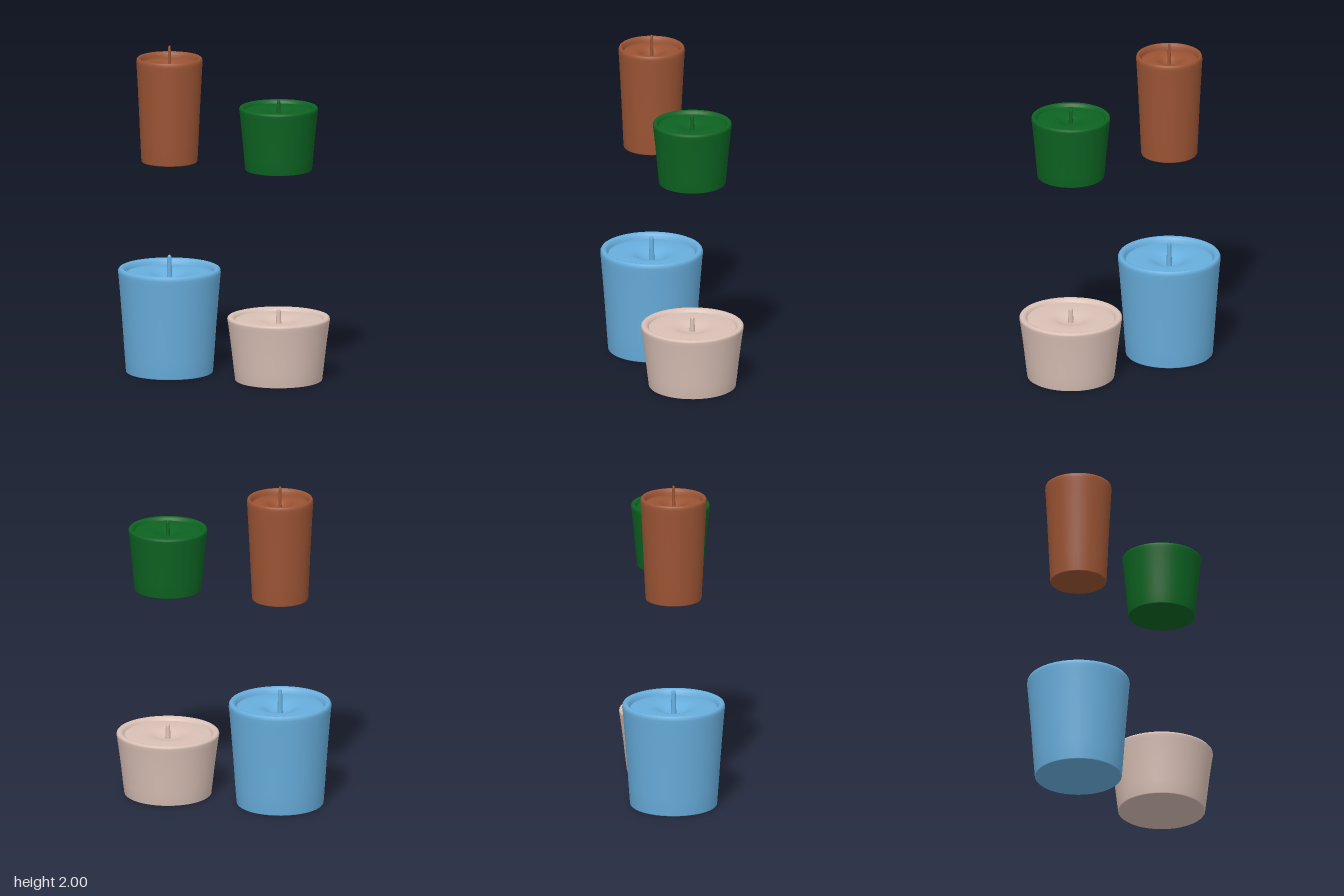
import * as THREE from 'three';

// Lathe profile in unit radius / unit height
const bodyProfile = [
  [0, 0], [0.4, 0], [0.83, 0], [0.845, 0.008], [0.875, 0.2], [0.91, 0.45],
  [0.95, 0.7], [0.985, 0.9], [0.998, 0.955], [0.993, 0.978], [0.975, 0.993], [0.945, 1],
  [0.91, 0.996], [0.88, 0.983], [0.86, 0.965], [0.845, 0.943],
];
const waxProfile = [
  [0.845, 0.943], [0.75, 0.95], [0.6, 0.955], [0.46, 0.953], [0.36, 0.942],
  [0.28, 0.922], [0.2, 0.898], [0.11, 0.884], [0, 0.88],
];
const wickProfile = [
  [0.055, 0.87], [0.05, 0.95], [0.042, 1.08], [0.036, 1.105], [0.022, 1.115], [0, 1.118],
];

function lathe(profile, radius, height, segments, material, name) {
  const points = profile.map(([r, y]) => new THREE.Vector2(r * radius, y * height));
  const mesh = new THREE.Mesh(new THREE.LatheGeometry(points, segments), material);
  mesh.name = name;
  return mesh;
}

function candle({ name, color, x, y, radius, height, wick }) {
  const group = new THREE.Group();
  group.name = name;
  const material = new THREE.MeshStandardMaterial({ color });
  group.add(lathe(bodyProfile, radius, height, 40, material, 'candleBody'));
  group.add(lathe(waxProfile, radius, height, 40, material, 'waxPool'));
  // Wick top is stretched to its own height above the rim
  const stretched = wickProfile.map(([r, h]) => [r, h > 1 ? 1 + (h - 1) * wick / (0.118 * height) : h]);
  group.add(lathe(stretched, radius, height, 12, material, 'wick'));
  group.position.set(x, y, 0);
  return group;
}

export function createModel() {
  const model = new THREE.Group();
  model.name = 'candleSet';
  model.add(
    candle({ name: 'tallWideCandle', color: 0x68aedd, x: -0.35, y: 0, radius: 0.31, height: 0.64, wick: 0.077 }),
    candle({ name: 'shortWideCandle', color: 0xd9c0b5, x: 0.35, y: 0, radius: 0.31, height: 0.39, wick: 0.045 }),
    candle({ name: 'tallSlimCandle', color: 0x9b5434, x: -0.35, y: 1.29, radius: 0.2, height: 0.637, wick: 0.073 }),
    candle({ name: 'shortSlimCandle', color: 0x0d6322, x: 0.35, y: 1.29, radius: 0.238, height: 0.386, wick: 0.045 }),
  );
  return model;
}
